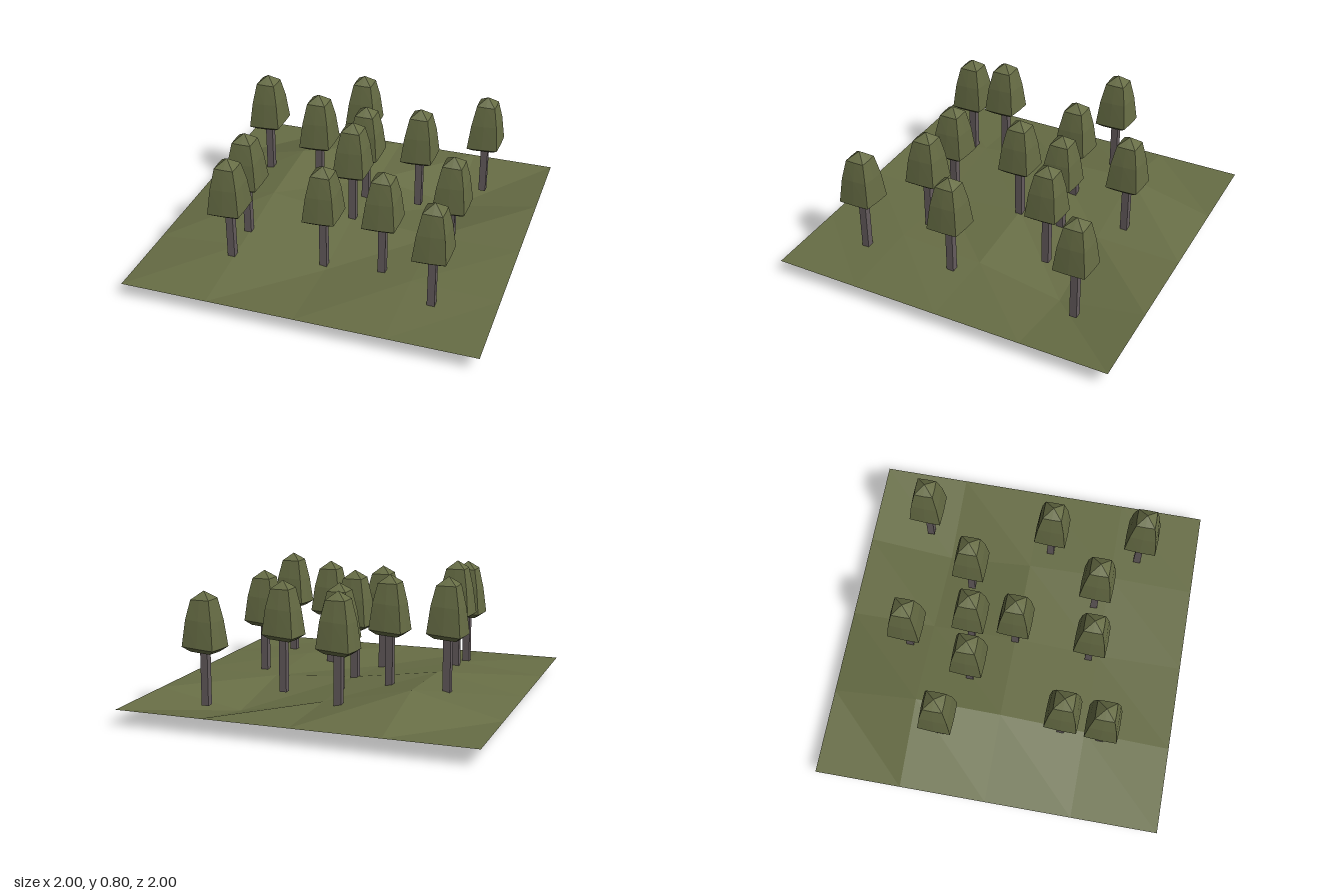
import * as THREE from 'three';

// Tree positions: x, z and height of the crown tip
const TREES = [
  [-0.13, -0.615, 0.75], [0.635, -0.65, 0.71], [-0.645, -0.325, 0.81], [-0.285, -0.22, 0.785],
  [-0.005, -0.265, 0.73], [0.31, -0.325, 0.735], [0, 0, 0.76], [0.62, 0.11, 0.71],
  [-0.51, 0.36, 0.79], [-0.515, 0.59, 0.755], [-0.02, 0.45, 0.72], [0.315, 0.43, 0.735],
  [0.655, 0.645, 0.74],
];

// Heights of the inner ground points, rows from back to front
const HILLS = [
  [0.22, 0.11, 0.01],
  [0.2, 0.13, 0.095],
  [0.145, 0.08, 0.12],
];

function groundGeometry() {
  const g = new THREE.PlaneGeometry(2, 2, 4, 4).rotateX(-Math.PI / 2);
  const p = g.attributes.position;
  for (let i = 0; i < p.count; i++) {
    const col = Math.round((p.getX(i) + 1) * 2), row = Math.round((p.getZ(i) + 1) * 2);
    const inner = col > 0 && col < 4 && row > 0 && row < 4;
    p.setY(i, inner ? HILLS[row - 1][col - 1] : 0.1);
  }
  const flat = g.toNonIndexed();
  flat.computeVertexNormals();
  return flat;
}

// Crown: square rings of eight points, closed by a tip and a base point
function crownGeometry() {
  const rings = [[0.056, -0.045], [0.079, -0.16], [0.096, -0.31], [0.062, -0.337]];
  const square = [[1, 1], [1, 0], [1, -1], [0, -1], [-1, -1], [-1, 0], [-1, 1], [0, 1]];
  const pos = [0, 0, 0], index = [];
  rings.forEach(([r, y], k) => {
    const skew = y * 0.03;
    for (const [sx, sz] of square) {
      const corner = sx && sz ? 0.97 : 1;
      const x = sx * r * corner, z = sz * r * corner;
      pos.push(x + z * skew * 3, y + (k > 0 ? x * 0.07 - z * 0.04 : 0), z - x * skew * 3);
    }
  });
  const base = pos.length / 3;
  pos.push(0, -0.34, 0);
  const at = (k, i) => 1 + k * 8 + (i % 8);
  for (let i = 0; i < 8; i++) {
    index.push(0, at(0, i), at(0, i + 1));
    for (let k = 0; k < 3; k++) {
      index.push(at(k, i), at(k + 1, i), at(k + 1, i + 1));
      index.push(at(k, i), at(k + 1, i + 1), at(k, i + 1));
    }
    index.push(base, at(3, i + 1), at(3, i));
  }
  const g = new THREE.BufferGeometry();
  g.setAttribute('position', new THREE.Float32BufferAttribute(pos, 3));
  g.setIndex(index);
  const flat = g.toNonIndexed();
  flat.computeVertexNormals();
  return flat;
}

export function createModel() {
  const grass = new THREE.MeshStandardMaterial({ color: 0x676d45, flatShading: true, side: THREE.DoubleSide });
  grass.name = 'green';
  const bark = new THREE.MeshStandardMaterial({ color: 0x665d5f, flatShading: true });
  bark.name = 'bark';

  const model = new THREE.Group();
  model.name = 'grove';

  const ground = new THREE.Mesh(groundGeometry(), grass);
  ground.name = 'ground';
  model.add(ground);

  // One tree shape, repeated over the ground
  const crownShape = crownGeometry();
  const trunkShape = new THREE.BoxGeometry(0.042, 0.34, 0.042).translate(0, -0.47, 0);
  for (const [x, z, top] of TREES) {
    const tree = new THREE.Group();
    tree.name = 'tree';
    const crown = new THREE.Mesh(crownShape, grass);
    crown.name = 'crown';
    const trunk = new THREE.Mesh(trunkShape, bark);
    trunk.name = 'trunk';
    tree.add(crown, trunk);
    tree.position.set(x, top, z);
    model.add(tree);
  }
  return model;
}
